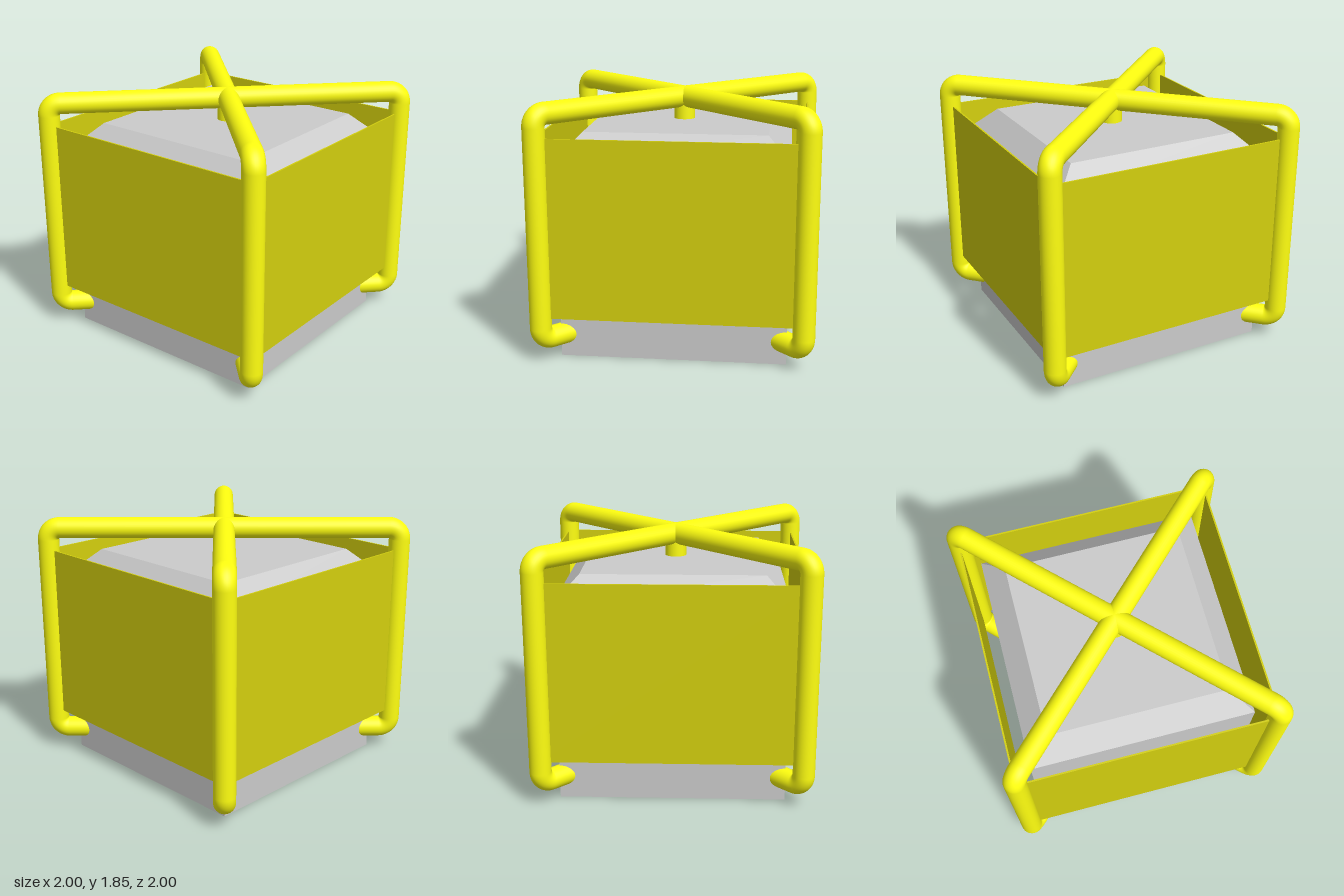
import * as THREE from 'three';

const TUBE = 0.078;              // pipe radius
const BEND = 0.085;              // centreline radius of the elbows
const POST = 0.922 * Math.SQRT2; // distance of each post from the middle
const TOP = 1.772, FOOT = 0.165; // centreline heights of the bars and feet

const mat = (color, extra = {}) => new THREE.MeshStandardMaterial({ color, ...extra });

function add(parent, name, geometry, material, x = 0, y = 0, z = 0) {
  const mesh = new THREE.Mesh(geometry, material);
  mesh.name = name;
  mesh.position.set(x, y, z);
  parent.add(mesh);
  return mesh;
}

// Block with a sloped shoulder around its top
function blockGeometry(half, inner, shoulder, top) {
  const sides = [[half, 0], [half, shoulder], [inner, top]];
  const ring = ([r, y]) => [[-r, y, r], [r, y, r], [r, y, -r], [-r, y, -r]];
  const rings = sides.map(ring);
  const pos = [];
  const quad = (a, b, c, d) => pos.push(...a, ...b, ...c, ...a, ...c, ...d);
  for (let k = 0; k < 2; k++) {
    for (let i = 0; i < 4; i++) {
      const j = (i + 1) % 4;
      quad(rings[k][i], rings[k][j], rings[k + 1][j], rings[k + 1][i]);
    }
  }
  quad(...rings[2]);
  quad(...[...rings[0]].reverse());
  const geometry = new THREE.BufferGeometry();
  geometry.setAttribute('position', new THREE.Float32BufferAttribute(pos, 3));
  geometry.computeVertexNormals();
  return geometry;
}

// One quarter of the frame, lying in the local xy plane
function frameLeg(material) {
  const leg = new THREE.Group();
  leg.name = 'frameLeg';
  const pipe = (length) => new THREE.CylinderGeometry(TUBE, TUBE, length, 32);
  const elbow = new THREE.TorusGeometry(BEND, TUBE, 32, 16, Math.PI / 2);
  const bendX = POST - BEND;

  add(leg, 'topBar', pipe(bendX), material, bendX / 2, TOP).rotation.z = Math.PI / 2;
  add(leg, 'upperElbow', elbow, material, bendX, TOP - BEND);
  add(leg, 'post', pipe(TOP - FOOT - 2 * BEND), material, POST, (TOP + FOOT) / 2);
  add(leg, 'lowerElbow', elbow, material, bendX, FOOT + BEND).rotation.z = -Math.PI / 2;
  // The foot runs into the corner of the block
  const footEnd = 0.98;
  add(leg, 'foot', pipe(bendX - footEnd), material, (bendX + footEnd) / 2, FOOT).rotation.z = Math.PI / 2;
  return leg;
}

export function createModel() {
  const model = new THREE.Group();
  model.name = 'cagedBlock';
  const grey = mat(0xcccccc, { flatShading: true });
  const yellow = mat(0xffff10);
  const panelYellow = mat(0xd4d00e);

  add(model, 'block', blockGeometry(0.805, 0.645, 1.45, 1.61), grey);

  // Four pipe legs on the diagonals, and the stub that carries their crossing
  for (let i = 0; i < 4; i++) {
    const leg = frameLeg(yellow);
    leg.rotation.y = Math.PI / 4 + i * Math.PI / 2;
    model.add(leg);
  }
  add(model, 'centreStub', new THREE.CylinderGeometry(TUBE, TUBE, 0.17, 32), yellow, 0, 1.685);

  // Thin panels between the posts
  const panel = new THREE.BoxGeometry(1.86, 1.285, 0.012);
  for (let i = 0; i < 4; i++) {
    const side = new THREE.Group();
    side.name = 'panelSide';
    side.rotation.y = i * Math.PI / 2;
    add(side, 'panel', panel, panelYellow, 0, 0.9675, 0.925);
    model.add(side);
  }
  return model;
}
